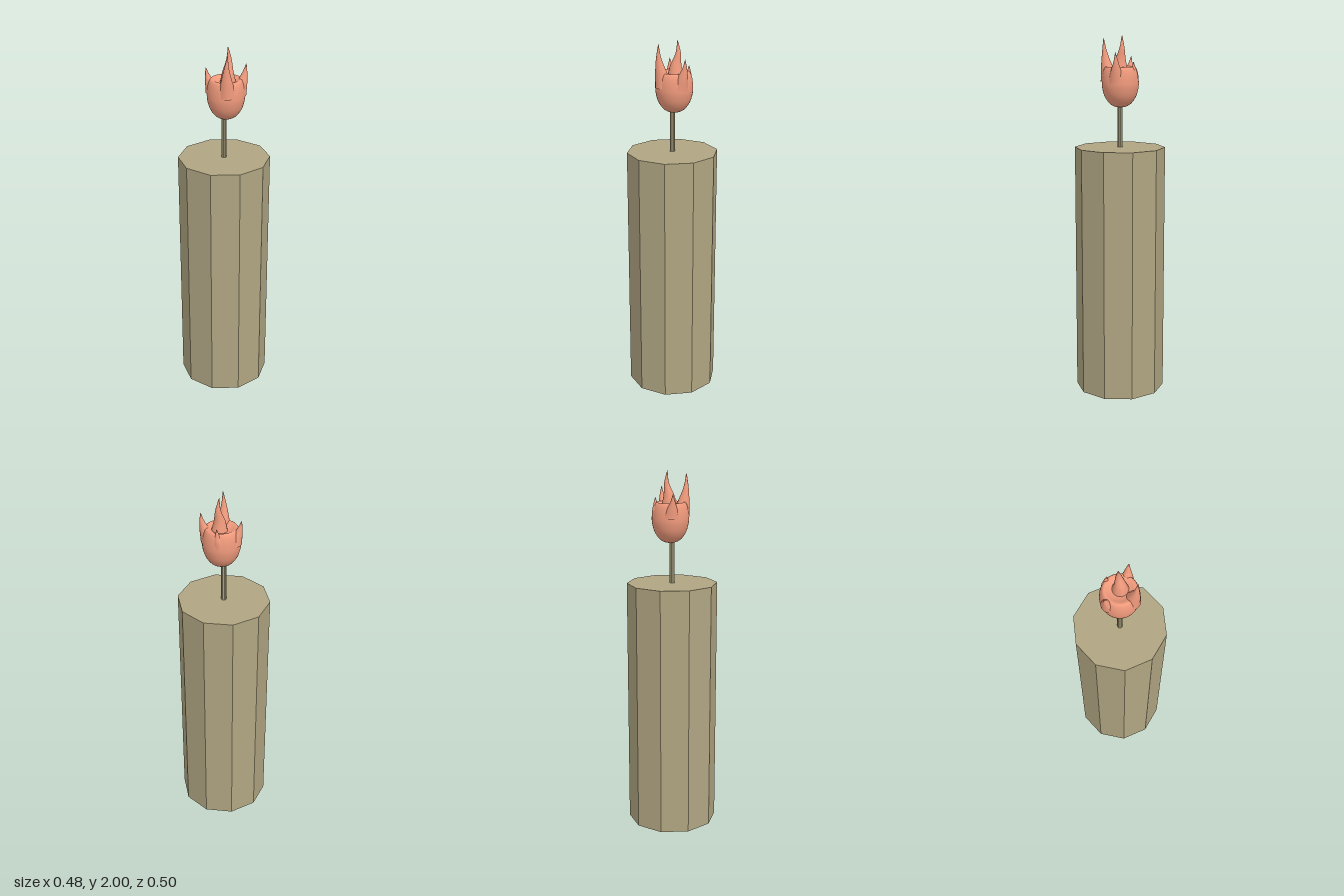
import * as THREE from 'three';

const V = (x, y, z) => new THREE.Vector3(x, y, z);

// Tapering tongue: round horizontal sections swept up a curve to a point
function tongueGeometry(points, baseRadius, rows = 14, sides = 16) {
  const curve = new THREE.CatmullRomCurve3(points);
  const geo = new THREE.CylinderGeometry(1, 1, 1, sides, rows, true);
  const pos = geo.attributes.position;
  for (let i = 0; i < pos.count; i++) {
    const t = pos.getY(i) + 0.5;
    const c = curve.getPoint(t);
    const r = baseRadius * (0.8 * Math.pow(1 - t, 1.5) + 0.2 * Math.sqrt(1 - t));
    pos.setXYZ(i, c.x + pos.getX(i) * r, c.y, c.z + pos.getZ(i) * r);
  }
  geo.computeVertexNormals();
  return geo;
}

export function createModel() {
  const model = new THREE.Group();
  const wax = new THREE.MeshStandardMaterial({ color: 0xb0a582, flatShading: true });
  const fire = new THREE.MeshStandardMaterial({ color: 0xf09a7c, side: THREE.DoubleSide });

  const add = (parent, name, geometry, material) => {
    const mesh = new THREE.Mesh(geometry, material);
    mesh.name = name;
    parent.add(mesh);
    return mesh;
  };

  // Ten-sided candle and thin wick
  add(model, 'candleBody', new THREE.CylinderGeometry(0.25, 0.25, 1.39, 10), wax).position.y = 0.695;
  add(model, 'wick', new THREE.CylinderGeometry(0.014, 0.014, 0.26, 10), wax).position.y = 1.51;

  // Flame: rounded bulb with a shallow dished top
  const flame = new THREE.Group();
  flame.name = 'flame';
  model.add(flame);
  const profile = [
    [0, 1.61], [0.03, 1.614], [0.06, 1.632], [0.086, 1.67], [0.099, 1.715],
    [0.101, 1.75], [0.097, 1.79], [0.088, 1.82], [0.075, 1.83], [0.045, 1.815], [0, 1.805],
  ].map(([x, y]) => new THREE.Vector2(x, y));
  const smooth = new THREE.SplineCurve(profile).getPoints(36);
  smooth.forEach((p) => { p.x = Math.max(p.x, 0); });
  add(flame, 'flameBulb', new THREE.LatheGeometry(smooth, 32), fire).position.set(0.001, 0, -0.012);

  // Tongues rising from the bulb: path and base radius
  const tongues = [
    [[V(0.005, 1.77, -0.025), V(0.004, 1.86, -0.022), V(-0.002, 1.93, -0.034), V(-0.004, 2.0, -0.028)], 0.052],
    [[V(0.052, 1.75, 0.02), V(0.066, 1.84, 0.034), V(0.075, 1.91, 0.042), V(0.081, 1.985, 0.04)], 0.05],
    [[V(-0.05, 1.75, 0.025), V(-0.064, 1.8, 0.04), V(-0.074, 1.84, 0.052), V(-0.082, 1.885, 0.058)], 0.048],
    [[V(-0.045, 1.75, -0.045), V(-0.055, 1.79, -0.06), V(-0.058, 1.82, -0.068), V(-0.055, 1.86, -0.072)], 0.046],
    [[V(0.035, 1.74, -0.06), V(0.045, 1.81, -0.083), V(0.05, 1.86, -0.098), V(0.055, 1.91, -0.104)], 0.048],
  ];
  tongues.forEach(([path, radius], i) => add(flame, `flameTongue${i + 1}`, tongueGeometry(path, radius), fire));

  return model;
}
